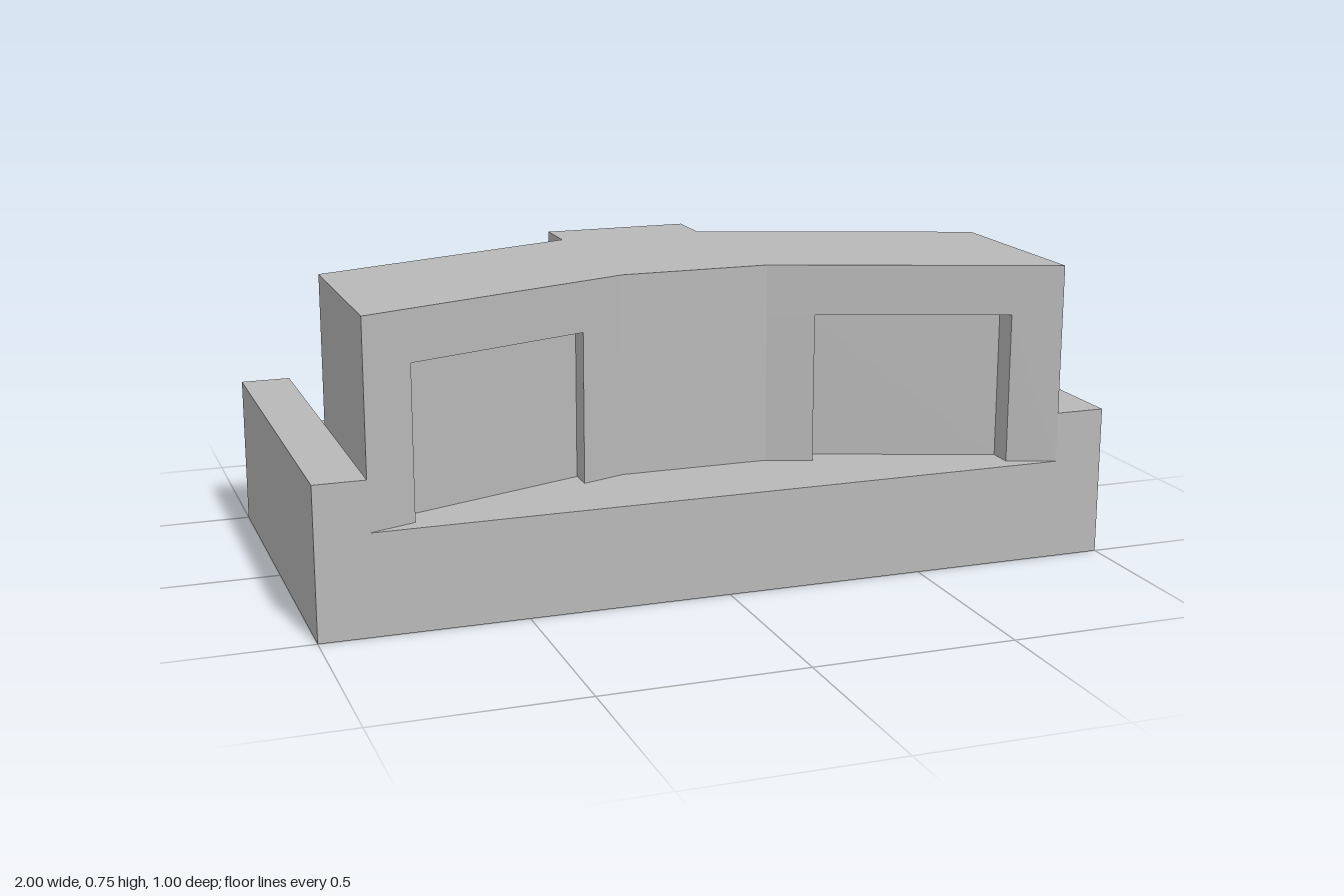
import * as THREE from 'three';

const DECK = 0.25, LINTEL = 0.625, ROOF = 0.75;
const RECESS = 0.0625, INNER = 0.3, OUTER = 0.757;

// Slanted wing faces: z as a function of x
const slope = 0.25 / 0.6875;
const frontZ = (x) => 0.25 + (x - 0.1875) * slope;
const backZ = (x) => -0.25 + (x - 0.1875) * slope;

// Plan outline of the building, given as its +x half and mirrored
function planShape(withRecesses) {
  const front = [[0.1875, 0.25]];
  const back = [[0.875, 0]];
  if (withRecesses) {
    front.push([INNER, frontZ(INNER)], [INNER, frontZ(INNER) - RECESS],
      [OUTER, frontZ(OUTER) - RECESS], [OUTER, frontZ(OUTER)]);
    back.push([OUTER, backZ(OUTER)], [OUTER, backZ(OUTER) + RECESS],
      [INNER, backZ(INNER) + RECESS], [INNER, backZ(INNER)]);
  }
  front.push([0.875, 0.5]);
  back.push([0.1875, -0.25], [0.1875, -0.375]);
  const half = [...front, ...back];
  const mirrored = half.map(([x, z]) => [-x, z]).reverse();
  return new THREE.Shape([...half, ...mirrored].map(([x, z]) => new THREE.Vector2(x, -z)));
}

// Extrude a plan upwards between two heights
function storey(shape, y0, y1) {
  const g = new THREE.ExtrudeGeometry(shape, { depth: y1 - y0, bevelEnabled: false });
  return g.rotateX(-Math.PI / 2).translate(0, y0, 0);
}

export function createModel() {
  const group = new THREE.Group();
  const concrete = new THREE.MeshStandardMaterial({ color: 0xb8b8b8 });
  concrete.name = 'concrete grey';
  const add = (name, geometry) => {
    const mesh = new THREE.Mesh(geometry, concrete);
    mesh.name = name;
    group.add(mesh);
  };

  // Base slab with a raised kerb along each end
  const profile = new THREE.Shape([
    [-1, 0], [1, 0], [1, 0.375], [0.875, 0.375], [0.875, DECK],
    [-0.875, DECK], [-0.875, 0.375], [-1, 0.375],
  ].map(([x, y]) => new THREE.Vector2(x, y)));
  add('base', new THREE.ExtrudeGeometry(profile, { depth: 1, bevelEnabled: false }).translate(0, 0, -0.5));

  // Angled building: walls with four door recesses, closed by the lintel and roof
  add('walls', storey(planShape(true), DECK, LINTEL));
  add('roof', storey(planShape(false), LINTEL, ROOF));

  return group;
}
